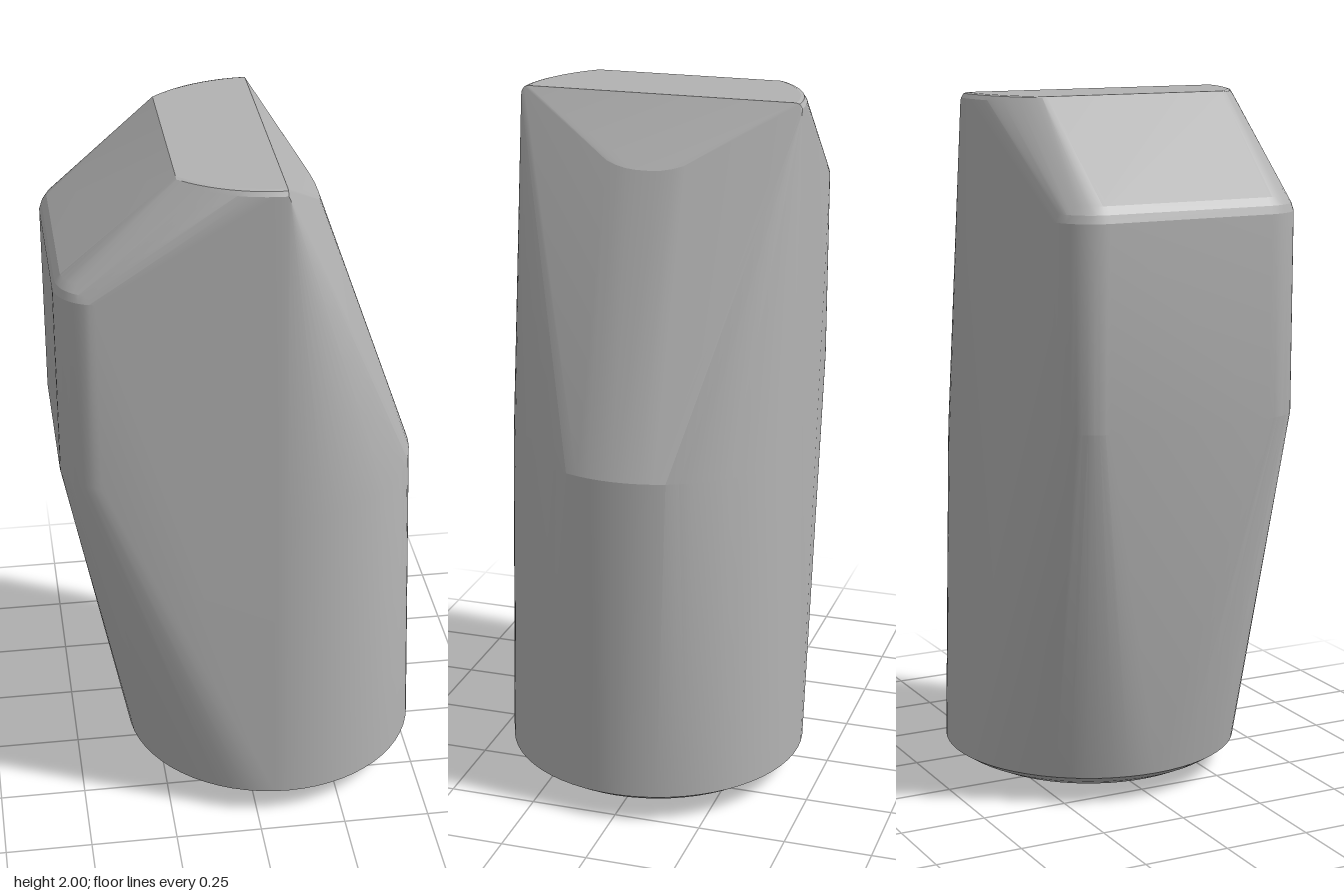
import * as THREE from 'three';
import { ConvexGeometry } from 'three/addons/geometries/ConvexGeometry.js';
import { toCreasedNormals } from 'three/addons/utils/BufferGeometryUtils.js';

export function createModel() {
  const group = new THREE.Group();
  const grey = new THREE.MeshStandardMaterial({ color: 0xb2b2b2 });
  grey.name = 'grey';

  const points = [];
  const add = (x, y, z) => points.push(new THREE.Vector3(x, y, z));

  // Arc of a horizontal circle, angles measured from +x towards +z
  const arc = (cx, cz, r, y, from, to, steps) => {
    for (let i = 0; i <= steps; i++) {
      const a = from + (to - from) * i / steps;
      add(cx + r * Math.cos(a), y, cz + r * Math.sin(a));
    }
  };

  // Round foot with a domed underside
  const foot = [[0.2, 0], [0.25, 0.006], [0.3, 0.017], [0.35, 0.034], [0.395, 0.056], [0.432, 0.08]];
  for (const [r, y] of foot) arc(0.093, 0, r, y, 0, Math.PI * 2 * 63 / 64, 63);

  // Half ring where the shaft starts to taper
  arc(0.08, 0, 0.418, 1.02, -Math.PI / 2, Math.PI / 2, 36);

  // Upright block on the right with rounded corners and a softened upper rim
  const block = [[0.12, 1.13], [0.12, 1.69], [0.113, 1.712], [0.098, 1.734], [0.07, 1.755]];
  for (const [r, y] of block) {
    arc(-0.41, 0.243, r, y, Math.PI / 2, Math.PI, 12);
    arc(-0.41, -0.243, r, y, Math.PI, Math.PI * 1.5, 12);
  }

  // Flat top with curved, softly bevelled sides, cut straight on the right
  for (const [r, y] of [[0.385, 2], [0.395, 1.997], [0.403, 1.985]]) {
    const start = Math.acos(-0.275 / r);
    for (const side of [-1, 1]) arc(0.075, 0, r, y, side * start, side * Math.PI / 2, 16);
  }

  // Ridge and sloping facet that meets the tapered shaft
  const ridge = [[0.045, 2, 0.385], [0.06, 1.995, 0.395], [0.072, 1.985, 0.402], [0.08, 1.974, 0.403]];
  const lip = [[0.205, 0.11], [0.213, 0.08], [0.218, 0.05], [0.22, 0.02]];
  for (const side of [-1, 1]) {
    for (const [x, y, z] of ridge) add(x, y, side * z);
    for (const [x, z] of lip) add(x, 1.974 - (x - 0.08) * 1.1, side * z);
  }

  const body = new THREE.Mesh(toCreasedNormals(new ConvexGeometry(points), 0.25), grey);
  body.name = 'body';
  group.add(body);
  return group;
}
